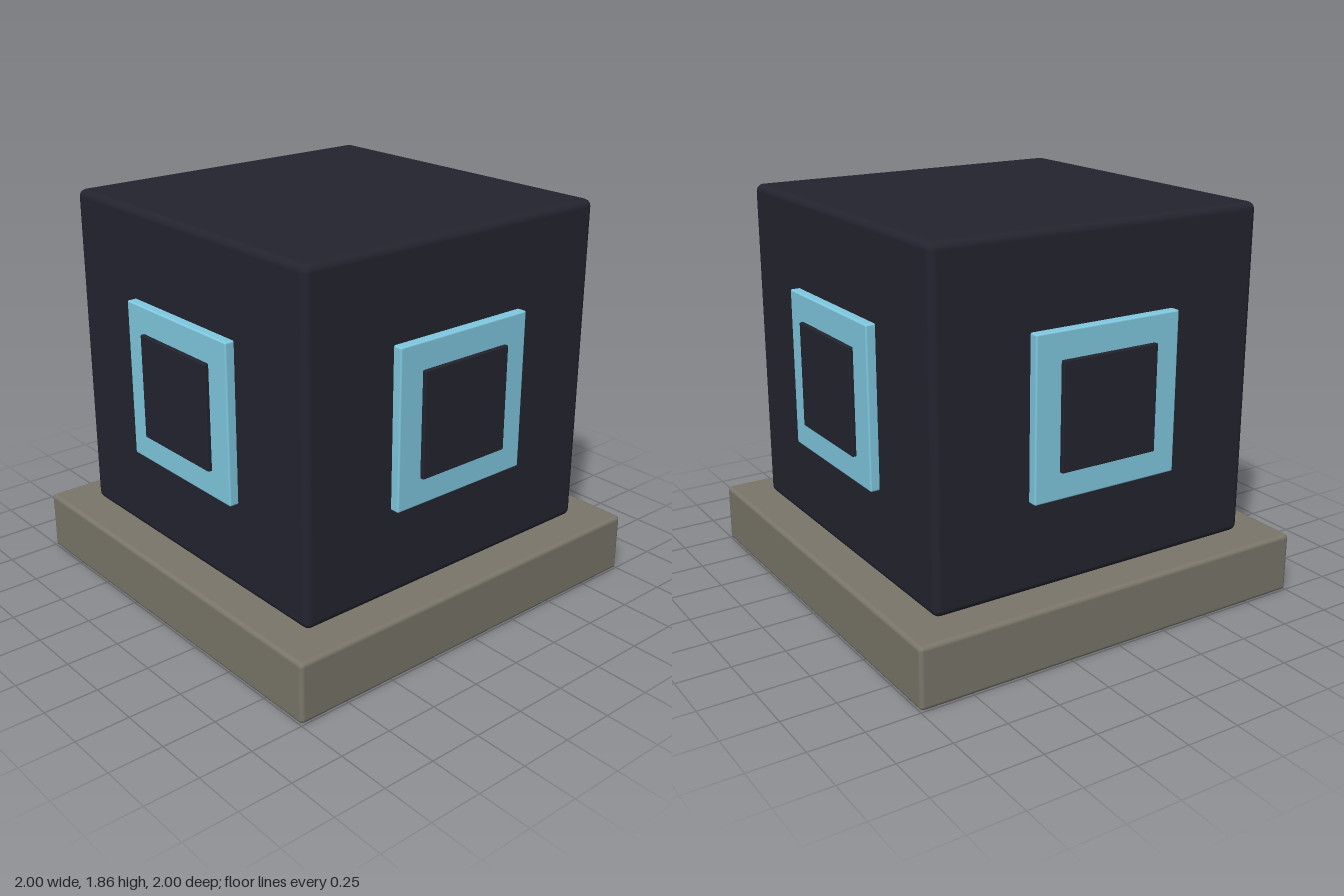
import * as THREE from 'three';
import { RoundedBoxGeometry } from 'three/addons/geometries/RoundedBoxGeometry.js';

export function createModel() {
  const model = new THREE.Group();
  model.name = 'blockOnPlinth';

  const material = (name, color) => {
    const m = new THREE.MeshStandardMaterial({ color });
    m.name = name;
    return m;
  };
  const stone = material('warm grey stone', 0x7a766a);
  const dark = material('dark navy', 0x242430);
  const blue = material('light blue', 0x80cae2);

  // Rounded box placed by its centre
  const box = (name, w, h, d, radius, mat, x, y, z, parent) => {
    const mesh = new THREE.Mesh(new RoundedBoxGeometry(w, h, d, 3, radius), mat);
    mesh.name = name;
    mesh.position.set(x, y, z);
    parent.add(mesh);
  };

  // Square plinth and the large block standing on it
  box('plinth', 2, 0.287, 2, 0.02, stone, 0, 0.1435, 0, model);
  box('block', 1.66, 1.57, 1.66, 0.035, dark, 0, 1.07, 0, model);

  // The same framed panel on all four sides
  ['front', 'left', 'back', 'right'].forEach((side, i) => {
    const panel = new THREE.Group();
    panel.name = side + 'Panel';
    panel.rotation.y = i * Math.PI / 2;
    box(side + 'Frame', 0.74, 0.74, 0.1, 0.008, blue, 0, 1.07, 0.823, panel);
    box(side + 'Inset', 0.49, 0.49, 0.1, 0.005, dark, 0, 1.07, 0.842, panel);
    model.add(panel);
  });

  return model;
}
